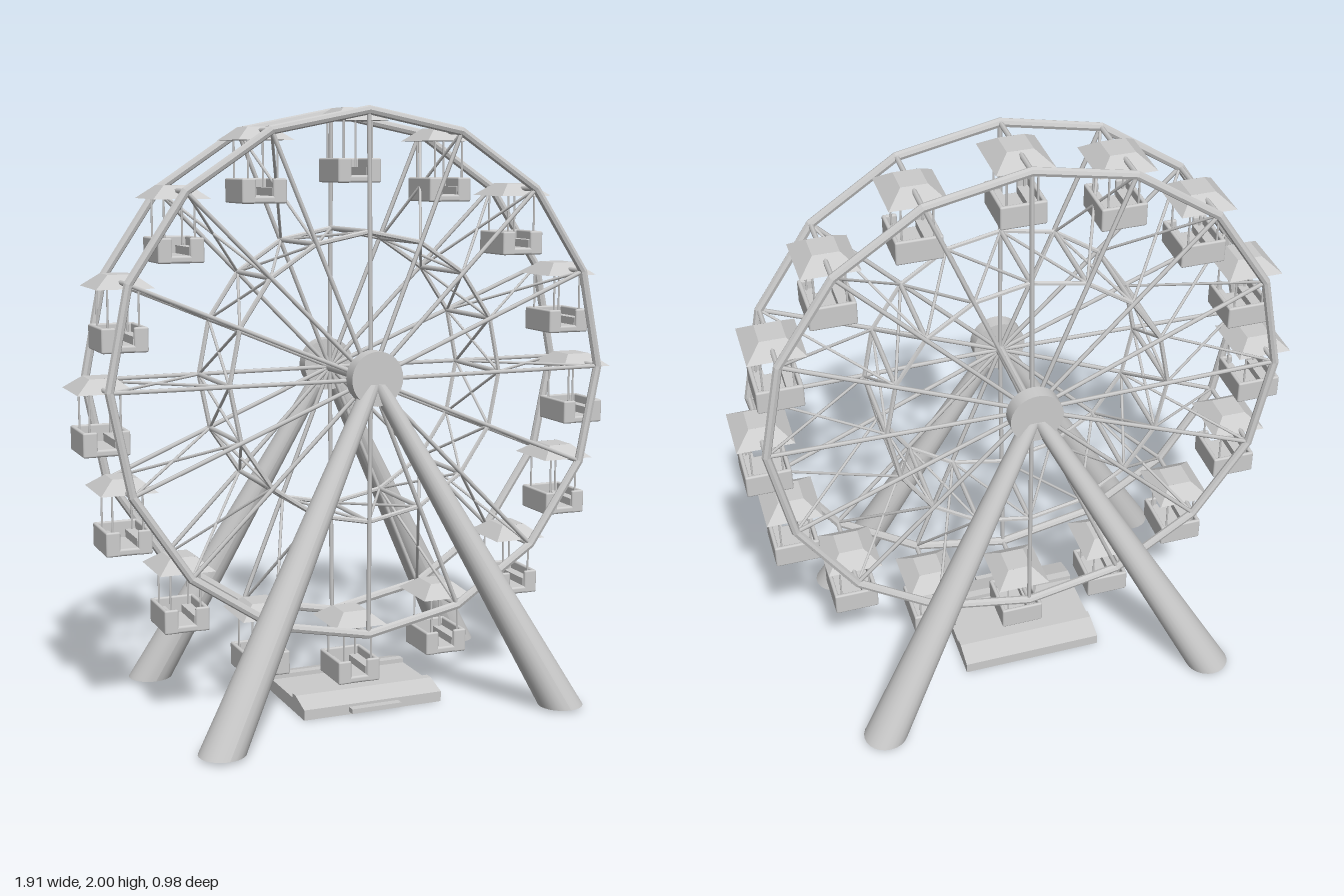
import * as THREE from 'three';
import { RoundedBoxGeometry } from 'three/addons/geometries/RoundedBoxGeometry.js';

const N = 16, CY = 1.12, OUTER = 0.868, INNER = 0.48, RIM_Z = 0.163;
const mat = new THREE.MeshStandardMaterial({ color: 0xcccccc, side: THREE.DoubleSide });
const flat = new THREE.MeshStandardMaterial({ color: 0xcccccc, flatShading: true, side: THREE.DoubleSide });
const V = (x, y, z) => new THREE.Vector3(x, y, z);

function add(parent, name, geometry, x = 0, y = 0, z = 0, material = flat) {
  const m = new THREE.Mesh(geometry, material);
  m.name = name;
  m.position.set(x, y, z);
  parent.add(m);
  return m;
}

// Round bar between two points
function bar(parent, name, a, b, r, sides = 6) {
  const d = b.clone().sub(a);
  const m = add(parent, name, new THREE.CylinderGeometry(r, r, d.length(), sides), 0, 0, 0, mat);
  m.position.copy(a).add(b).multiplyScalar(0.5);
  m.quaternion.setFromUnitVectors(V(0, 1, 0), d.normalize());
  return m;
}

// Point on the wheel at step i
const onWheel = (i, r, z) => {
  const a = (i * Math.PI * 2) / N;
  return V(Math.sin(a) * r, CY + Math.cos(a) * r, z);
};

function createWheel() {
  const wheel = new THREE.Group();
  wheel.name = 'wheel';
  for (const s of [-1, 1]) {
    add(wheel, 'outerRim', new THREE.TorusGeometry(OUTER, 0.015, 8, N), 0, CY, s * RIM_Z);
    add(wheel, 'innerRing', new THREE.TorusGeometry(INNER, 0.008, 6, N), 0, CY, s * RIM_Z);
    for (let i = 0; i < N; i++) {
      bar(wheel, 'spoke', V(0, CY, s * 0.18), onWheel(i, OUTER, s * RIM_Z), 0.0075);
      // Diagonal bracing between the two faces
      bar(wheel, 'ringBrace', onWheel(i, INNER, s * RIM_Z), onWheel(i + 1, INNER, -s * RIM_Z), 0.005);
      if (i % 8) bar(wheel, 'spokeBrace', onWheel(i, INNER, s * RIM_Z), onWheel(i, OUTER, -s * RIM_Z), 0.005);
    }
  }
  for (let i = 0; i < N; i++) {
    for (const r of [INNER, OUTER]) {
      bar(wheel, 'crossBar', onWheel(i, r, -RIM_Z), onWheel(i, r, RIM_Z), 0.0085);
    }
  }
  bar(wheel, 'axle', V(0, CY, -0.2), V(0, CY, 0.2), 0.016, 12);
  return wheel;
}

// Hip roof: four-sided frustum with a flat rim below
const roofGeo = new THREE.CylinderGeometry(0.045 * Math.SQRT2, 0.1 * Math.SQRT2, 0.042, 4, 1, true);
roofGeo.rotateY(Math.PI / 4).scale(0.94, 1, 1.08);
const roofTop = new THREE.PlaneGeometry(0.085, 0.097).rotateX(-Math.PI / 2);
const eave = new THREE.Shape([[-0.094, -0.108], [0.094, -0.108], [0.094, 0.108], [-0.094, 0.108]]
  .map((p) => new THREE.Vector2(...p)));
eave.holes.push(new THREE.Path([[-0.035, -0.05], [-0.035, 0.05], [0.035, 0.05], [0.035, -0.05]]
  .map((p) => new THREE.Vector2(...p))));
const eaveGeo = new THREE.ShapeGeometry(eave).rotateX(Math.PI / 2);

const floorGeo = new RoundedBoxGeometry(0.152, 0.024, 0.178, 2, 0.008);
const sideGeo = new RoundedBoxGeometry(0.014, 0.08, 0.178, 2, 0.006);
const panelGeo = new RoundedBoxGeometry(0.046, 0.08, 0.014, 2, 0.006);
const backGeo = new RoundedBoxGeometry(0.15, 0.08, 0.014, 2, 0.006);
const seatGeo = new THREE.BoxGeometry(0.036, 0.03, 0.15);

// Gondola with its origin at the centre of the tub
function createCabin() {
  const cabin = new THREE.Group();
  cabin.name = 'cabin';
  add(cabin, 'floor', floorGeo, 0, -0.028, 0, mat);
  add(cabin, 'backWall', backGeo, 0, 0, -0.082, mat);
  for (const s of [-1, 1]) {
    add(cabin, 'sideWall', sideGeo, s * 0.069, 0, 0, mat);
    add(cabin, 'frontPanel', panelGeo, s * 0.052, 0, 0.082, mat);
    add(cabin, 'seat', seatGeo, s * 0.046, -0.005, 0);
    for (const t of [-1, 1]) {
      bar(cabin, 'post', V(s * 0.05, -0.02, t * 0.07), V(s * 0.05, 0.165, t * 0.07), 0.0035);
    }
  }
  add(cabin, 'roof', roofGeo, 0, 0.182, 0);
  add(cabin, 'roofTop', roofTop, 0, 0.203, 0);
  add(cabin, 'roofEave', eaveGeo, 0, 0.161, 0);
  return cabin;
}

// Tapered leg with a level foot, leaning in towards the hub
function createLeg(sx, sz) {
  const h = 1.1, g = new THREE.CylinderGeometry(0.03, 0.076, h, 24);
  const p = g.attributes.position;
  for (let i = 0; i < p.count; i++) {
    const t = p.getY(i) / h + 0.5;
    p.setX(i, p.getX(i) + sx * THREE.MathUtils.lerp(0.6, 0.01, t));
    p.setZ(i, p.getZ(i) + sz * THREE.MathUtils.lerp(0.412, 0.212, t));
  }
  g.computeVertexNormals();
  const leg = new THREE.Mesh(g, mat);
  leg.name = 'leg';
  leg.position.y = 0.01 + h / 2;
  return leg;
}

function createPlatform() {
  const platform = new THREE.Group();
  platform.name = 'platform';
  // Side profile: z, y
  const profile = [[-0.21, 0], [0.21, 0], [0.21, 0.035], [0.13, 0.06], [0.1, 0.06], [0.1, 0.045],
    [-0.1, 0.045], [-0.1, 0.06], [-0.13, 0.06], [-0.21, 0.038]];
  const g = new THREE.ExtrudeGeometry(new THREE.Shape(profile.map((p) => new THREE.Vector2(...p))),
    { depth: 0.5, bevelEnabled: false });
  g.translate(0, 0, -0.25).rotateY(-Math.PI / 2);
  add(platform, 'base', g);
  add(platform, 'step', new THREE.BoxGeometry(0.18, 0.016, 0.05), 0, 0.018, 0.213);
  return platform;
}

export function createModel() {
  const model = new THREE.Group();
  model.name = 'ferrisWheel';
  model.add(createWheel(), createPlatform());

  // Cabins hang upright around the rim
  for (let i = 0; i < N; i++) {
    const a = (i * Math.PI * 2) / N;
    const cabin = createCabin();
    cabin.position.set(Math.sin(a) * 0.86, 0.948 + Math.cos(a) * 0.848, 0);
    model.add(cabin);
  }

  // Hubs and legs
  for (const sz of [-1, 1]) {
    const hub = add(model, 'hub', new THREE.CylinderGeometry(0.09, 0.09, 0.052, 32), 0, 1.128, sz * 0.212, mat);
    hub.rotation.x = Math.PI / 2;
    for (const sx of [-1, 1]) model.add(createLeg(sx, sz));
  }
  return model;
}
